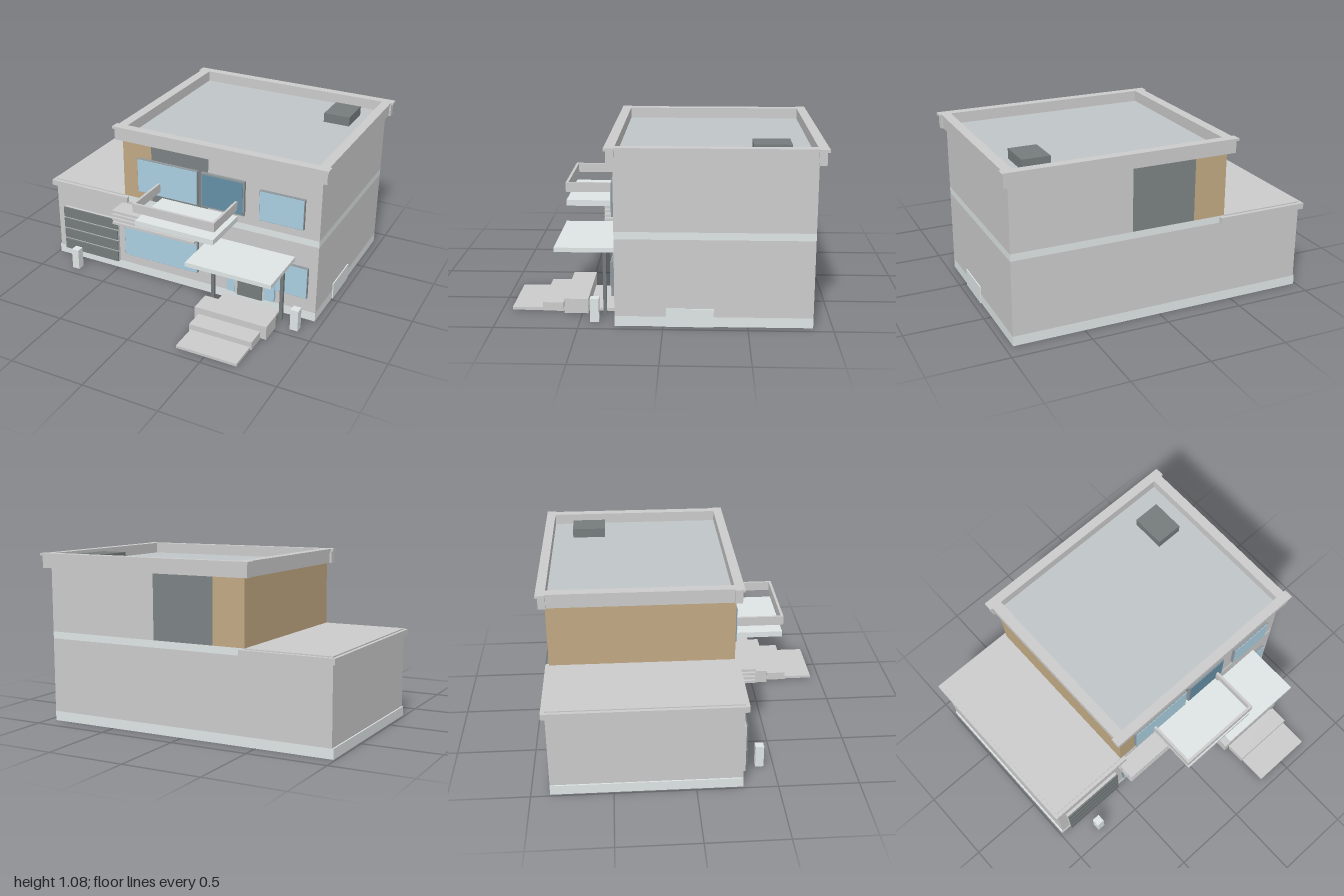
import * as THREE from 'three';

const mat = (color) => new THREE.MeshStandardMaterial({ color });

export function createModel() {
  const house = new THREE.Group();
  house.name = 'house';
  const wall = mat(0xcccccc), light = mat(0xdfe5e5), trim = mat(0xc4c8c8), dark = mat(0x767c7c);
  const slate = mat(0x7c8284), timber = mat(0xc2aa84), roof = mat(0xc0c6c8);
  const glass = mat(0xabd0e2), tinted = mat(0x6690a6), frame = mat(0x90979a);

  // Box given by its limits on each axis
  function box(name, m, x0, x1, y0, y1, z0, z1, parent = house) {
    const mesh = new THREE.Mesh(new THREE.BoxGeometry(x1 - x0, y1 - y0, z1 - z0), m);
    mesh.position.set((x0 + x1) / 2, (y0 + y1) / 2, (z0 + z1) / 2);
    mesh.name = name;
    parent.add(mesh);
    return mesh;
  }
  function group(name) {
    const g = new THREE.Group();
    g.name = name;
    house.add(g);
    return g;
  }

  const F = 0.286, B = -0.884; // front and back wall planes

  // Ground floor: plinth, walls, floor band
  box('plinth', light, -0.987, 0.95, 0, 0.062, B, F);
  box('groundFloorWalls', wall, -0.978, 0.95, 0.062, 0.535, B, F);
  box('sideWingTop', wall, -0.978, -0.43, 0.535, 0.58, B, F);
  box('floorBand', light, -0.43, 0.95, 0.535, 0.58, B, F);
  box('sideWingEaves', trim, -1, -0.4, 0.535, 0.573, -0.908, 0.311);

  // Upper floor in three cladding sections
  box('timberSection', timber, -0.43, -0.22, 0.58, 1.0, B, F);
  box('slateSection', slate, -0.22, 0.19, 0.58, 1.0, B, F);
  box('plainSection', wall, 0.19, 0.95, 0.58, 1.0, B, F);

  // Flat roof behind a parapet of fascia boards and capping
  const parapet = group('parapet');
  box('roofDeck', roof, -0.43, 0.95, 0.99, 1.01, B, F, parapet);
  for (const [z0, z1, c0, c1] of [[0.273, 0.322, 0.273, 0.334], [-0.923, -0.877, -0.937, -0.877]]) {
    box('fascia', trim, -0.468, 0.987, 0.987, 1.064, z0, z1, parapet);
    box('capping', trim, -0.478, 0.997, 1.064, 1.08, c0, c1, parapet);
  }
  for (const [x0, x1, c0, c1] of [[-0.455, -0.396, -0.462, -0.396], [0.92, 0.975, 0.92, 0.982]]) {
    box('sideFascia', trim, x0, x1, 0.987, 1.064, -0.877, 0.273, parapet);
    box('sideCapping', trim, c0, c1, 1.064, 1.08, -0.877, 0.273, parapet);
  }
  box('roofVent', dark, 0.64, 0.817, 1.01, 1.072, -0.743, -0.52);

  // Windows: frame block with a pane on its face
  function window_(name, m, x0, x1, y0, y1, edge = 0.003) {
    const g = group(name);
    box('frame', frame, x0, x1, y0, y1, F, 0.308, g);
    box('pane', m, x0 + edge, x1 - edge, y0 + edge, y1 - edge, 0.308, 0.311, g);
  }
  window_('upperLargeWindow', glass, -0.313, 0.123, 0.642, 0.877);
  window_('balconyWindow', tinted, 0.15, 0.45, 0.642, 0.877, 0.009);
  window_('upperSmallWindow', glass, 0.553, 0.85, 0.642, 0.845);
  window_('livingRoomWindow', glass, -0.43, 0.123, 0.137, 0.417);
  window_('entryWindow', glass, 0.675, 0.893, 0.165, 0.378);

  // Entrance door with sidelights
  const entry = group('entrance');
  box('doorSurround', wall, 0.395, 0.605, 0.065, 0.405, F, 0.307, entry);
  box('door', dark, 0.42, 0.592, 0.065, 0.403, 0.307, 0.318, entry);
  box('sidelight', glass, 0.342, 0.395, 0.075, 0.395, F, 0.311, entry);
  box('sidelight', glass, 0.605, 0.675, 0.075, 0.395, F, 0.311, entry);

  // Garage door panels separated by pale grooves
  const garage = group('garageDoor');
  box('garageBacking', trim, -0.917, -0.487, 0.063, 0.385, F, 0.306, garage);
  for (let i = 0; i < 4; i++) {
    const y = 0.063 + i * 0.081;
    box('garagePanel', dark, -0.917, -0.487, y + (i ? 0.006 : 0), y + (i < 3 ? 0.075 : 0.079), 0.306, 0.316, garage);
  }

  // Sun louvres above the living room window
  const louvres = group('louvres');
  for (let i = 0; i < 4; i++) {
    const y = 0.415 + i * 0.028;
    box('slat', trim, -0.455, 0.155, y, y + 0.017, F, 0.417, louvres);
  }

  // Balcony slab and railing open to the house
  const balcony = group('balcony');
  box('balconySlab', light, -0.146, 0.398, 0.583, 0.62, F, 0.631, balcony);
  box('frontRail', trim, -0.16, 0.406, 0.676, 0.736, 0.616, 0.633, balcony);
  box('sideRail', trim, -0.16, -0.144, 0.676, 0.736, F, 0.616, balcony);
  box('sideRail', trim, 0.39, 0.406, 0.676, 0.736, F, 0.616, balcony);

  // Porch canopy on two posts
  const porch = group('porch');
  box('canopy', light, 0.22, 0.797, 0.404, 0.432, F, 0.659, porch);
  for (const x of [0.268, 0.749]) box('post', dark, x - 0.011, x + 0.011, 0, 0.404, 0.35, 0.371, porch);

  // Front steps and path
  const steps = group('frontSteps');
  box('path', trim, 0.305, 0.712, 0, 0.018, F, 0.937, steps);
  box('lowerStep', trim, 0.295, 0.722, 0, 0.055, 0.62, 0.747, steps);
  box('upperStep', trim, 0.262, 0.757, 0, 0.093, 0.463, 0.61, steps);

  // Bollards and side block
  for (const x of [-0.758, 0.868]) box('bollard', light, x - 0.026, x + 0.026, 0, 0.145, 0.385, 0.438);
  box('sideBlock', light, 0.94, 0.957, 0, 0.113, -0.299, -0.018);

  return house;
}
